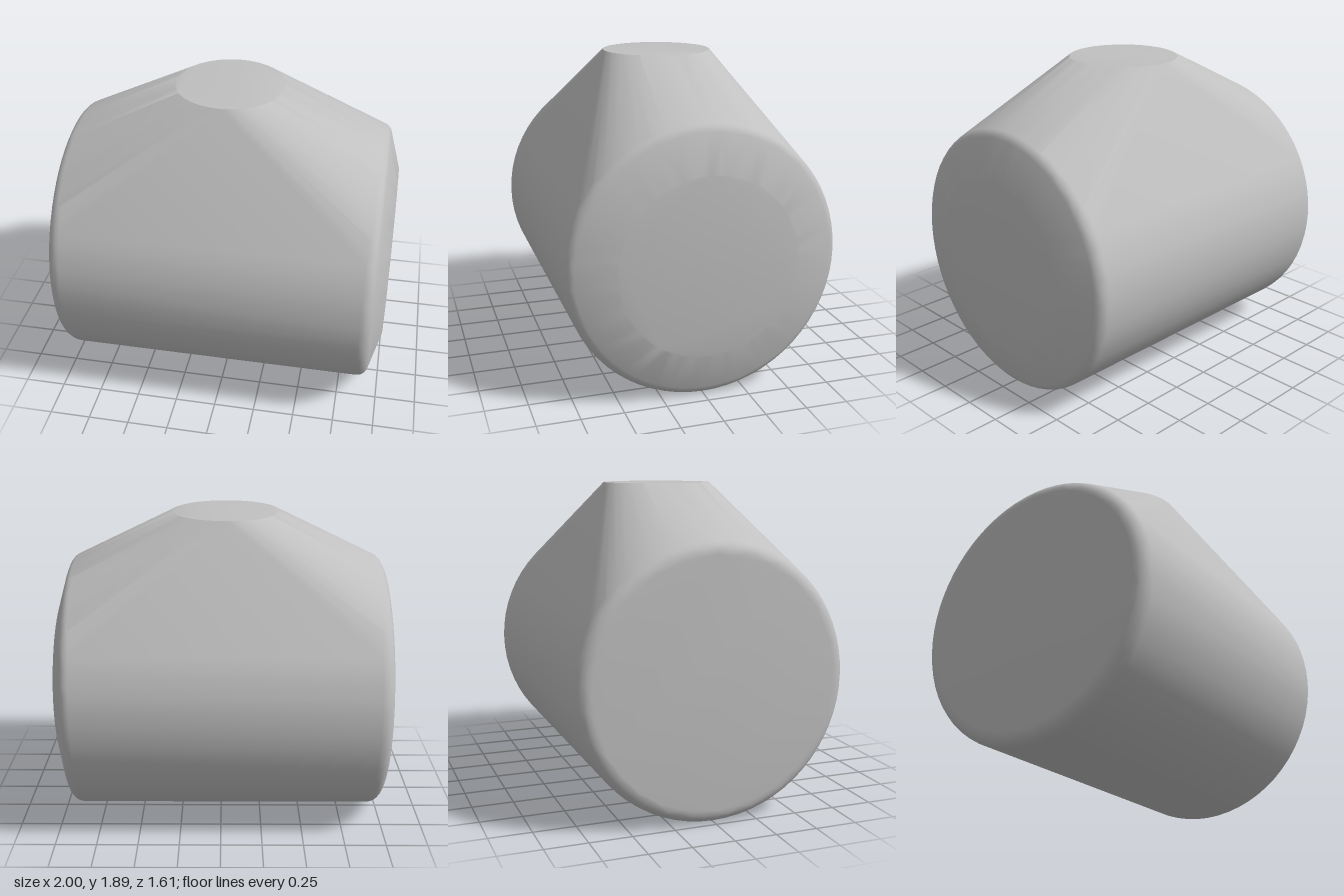
import * as THREE from 'three';
import { ConvexGeometry } from 'three/addons/geometries/ConvexGeometry.js';
import { toCreasedNormals } from 'three/addons/utils/BufferGeometryUtils.js';

const SEGMENTS = 64;
const RADIUS = 0.805;

// Rounded edge of the drum as [x, radius] pairs, from the side wall towards the end
function roundedEdge(side, cx, size, maxAngle) {
  const pairs = [];
  for (let i = 0; i <= 5; i++) {
    const a = (i / 5) * maxAngle;
    pairs.push([cx + side * size * Math.sin(a), RADIUS - size + size * Math.cos(a)]);
  }
  return pairs;
}

export function createModel() {
  const group = new THREE.Group();
  group.name = 'roundedHousing';
  const grey = new THREE.MeshStandardMaterial({ color: 0xc0c0c0 });
  grey.name = 'plain grey';

  const points = [];

  // Horizontal drum: flat end at -x, shallow cone ending in a flat disc at +x
  const profile = [
    ...roundedEdge(-1, -0.92, 0.08, Math.PI / 2),
    ...roundedEdge(1, 0.865, 0.07, Math.PI * 0.415),
    [1, 0.53],
  ];
  for (const [x, r] of profile) {
    for (let i = 0; i < SEGMENTS; i++) {
      const a = (i / SEGMENTS) * Math.PI * 2;
      points.push(new THREE.Vector3(x, RADIUS + r * Math.cos(a), r * Math.sin(a)));
    }
  }

  // Small flat disc on top, which the drum tapers up to
  for (let i = 0; i < 32; i++) {
    const a = (i / 32) * Math.PI * 2;
    points.push(new THREE.Vector3(-0.03 + 0.33 * Math.cos(a), 1.89, 0.33 * Math.sin(a)));
  }

  // One skin stretched around drum and disc
  const geometry = toCreasedNormals(new ConvexGeometry(points), Math.PI / 6);
  const housing = new THREE.Mesh(geometry, grey);
  housing.name = 'housing';
  group.add(housing);
  return group;
}
